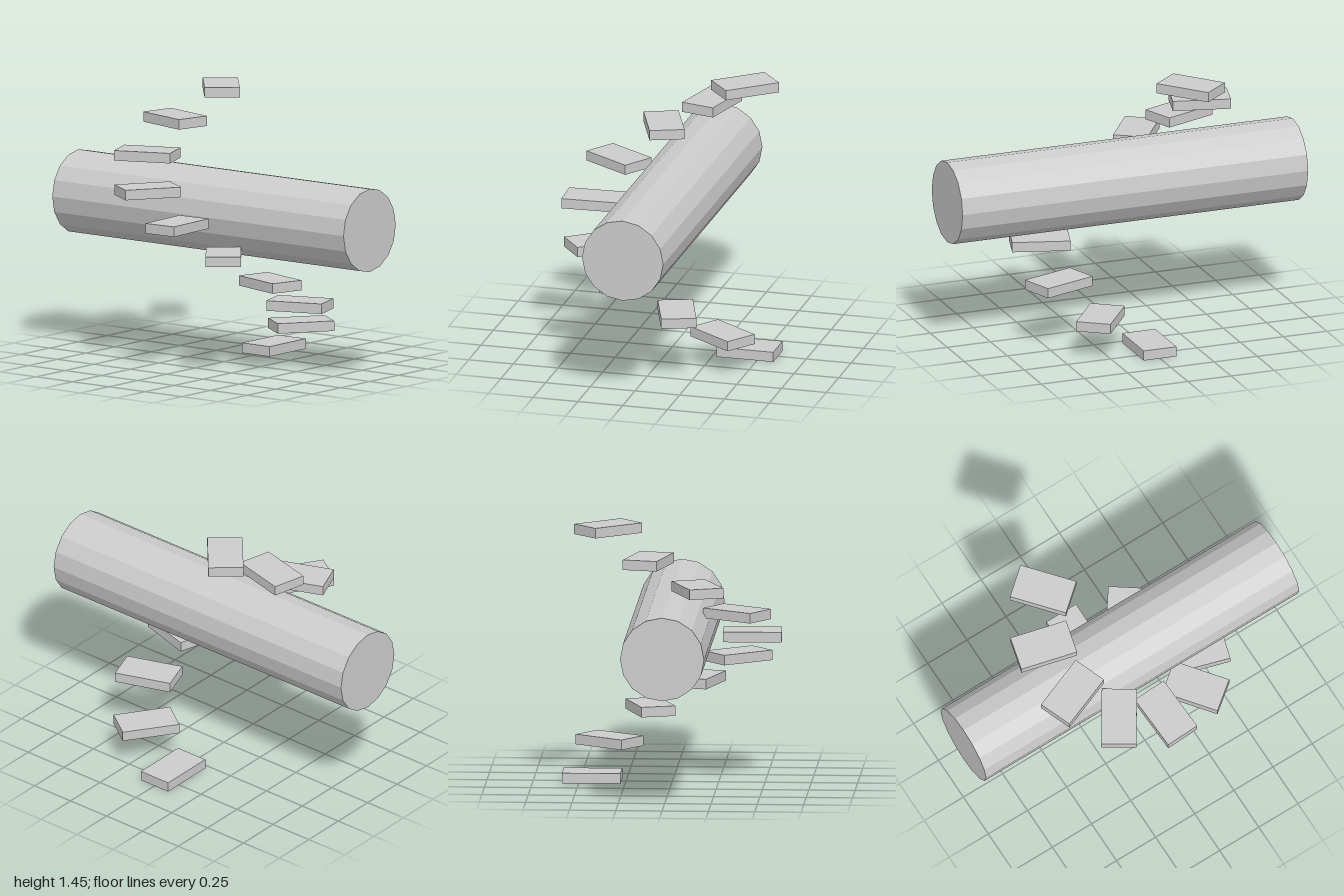
import * as THREE from 'three';

export function createModel() {
  const model = new THREE.Group();
  const material = new THREE.MeshStandardMaterial({ color: 0xcccccc, flatShading: true });

  // Horizontal 16-sided column running front to back
  const columnGeometry = new THREE.CylinderGeometry(0.227, 0.227, 2, 16);
  columnGeometry.rotateX(Math.PI / 2);
  const column = new THREE.Mesh(columnGeometry, material);
  column.name = 'column';
  column.position.y = 0.826;
  model.add(column);

  // Spiral of ten separate steps climbing around the vertical axis
  const steps = new THREE.Group();
  steps.name = 'spiralSteps';
  const thickness = 0.055, rise = 0.1551, turn = 0.62, radius = 0.433;
  const stepGeometry = new THREE.BoxGeometry(0.316, thickness, 0.19);
  for (let i = 0; i < 10; i++) {
    const angle = i * turn;
    const step = new THREE.Mesh(stepGeometry, material);
    step.name = `step${i + 1}`;
    step.position.set(radius * Math.cos(angle), thickness / 2 + i * rise, radius * Math.sin(angle));
    step.rotation.y = -angle;
    steps.add(step);
  }
  model.add(steps);

  return model;
}
